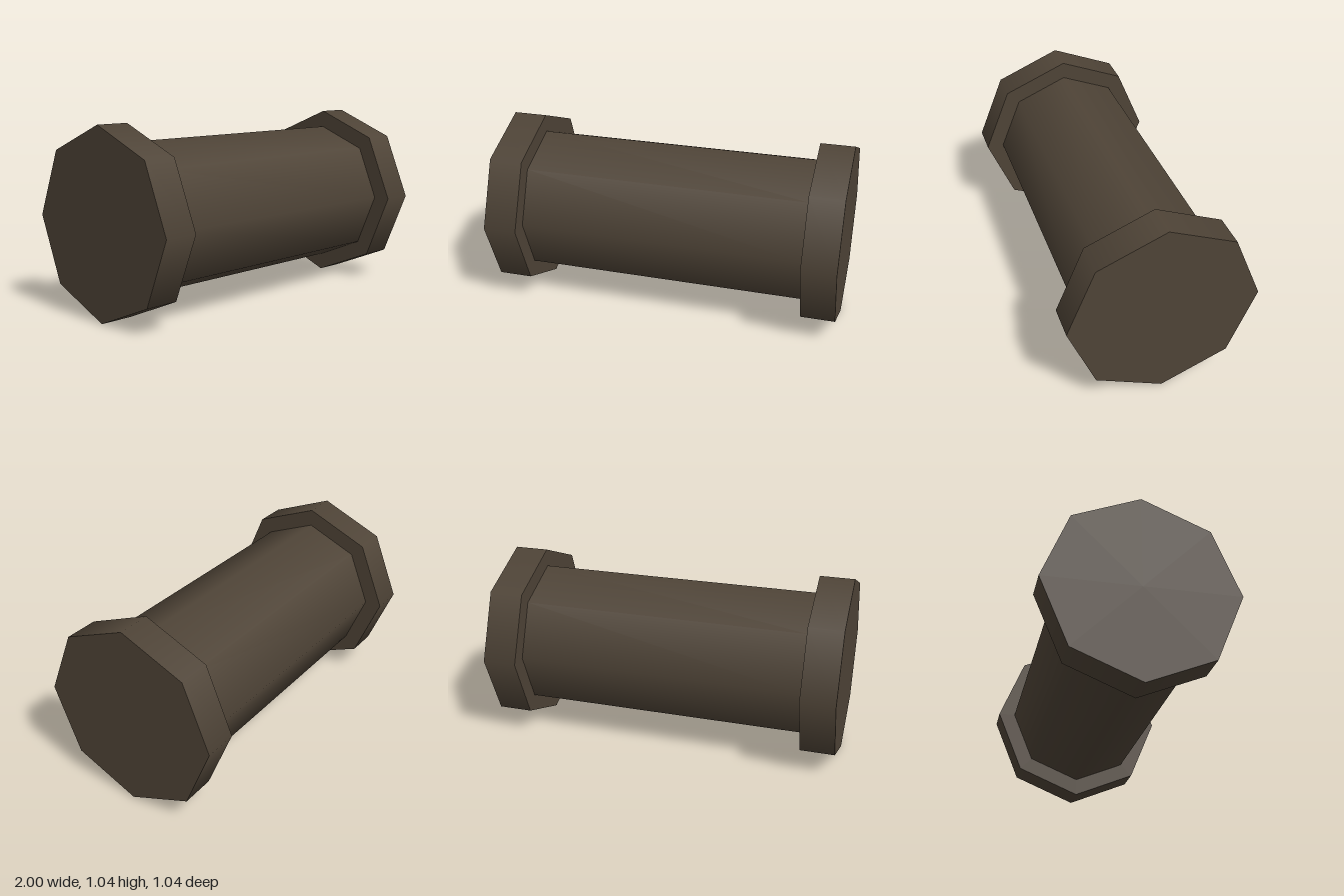
import * as THREE from 'three';

export function createModel() {
  const group = new THREE.Group();
  const brown = new THREE.MeshStandardMaterial({ color: 0x4f4437 });
  brown.name = 'dark brown';

  const RADIUS = 0.521, CORE_RADIUS = 0.421, FLANGE = 0.192;

  // Eight-sided, smooth-shaded drum lying along x
  function drum(name, radius, length, x) {
    const geometry = new THREE.CylinderGeometry(radius, radius, length, 8);
    geometry.rotateZ(-Math.PI / 2);
    const mesh = new THREE.Mesh(geometry, brown);
    mesh.name = name;
    mesh.position.set(x, RADIUS, 0);
    group.add(mesh);
  }

  // Central barrel between the flanges
  drum('barrel', CORE_RADIUS, 2 - 2 * FLANGE, 0);

  // Wider flange at each end
  for (const side of [-1, 1]) {
    drum(side > 0 ? 'leftFlange' : 'rightFlange', RADIUS, FLANGE, side * (1 - FLANGE / 2));
  }

  return group;
}
